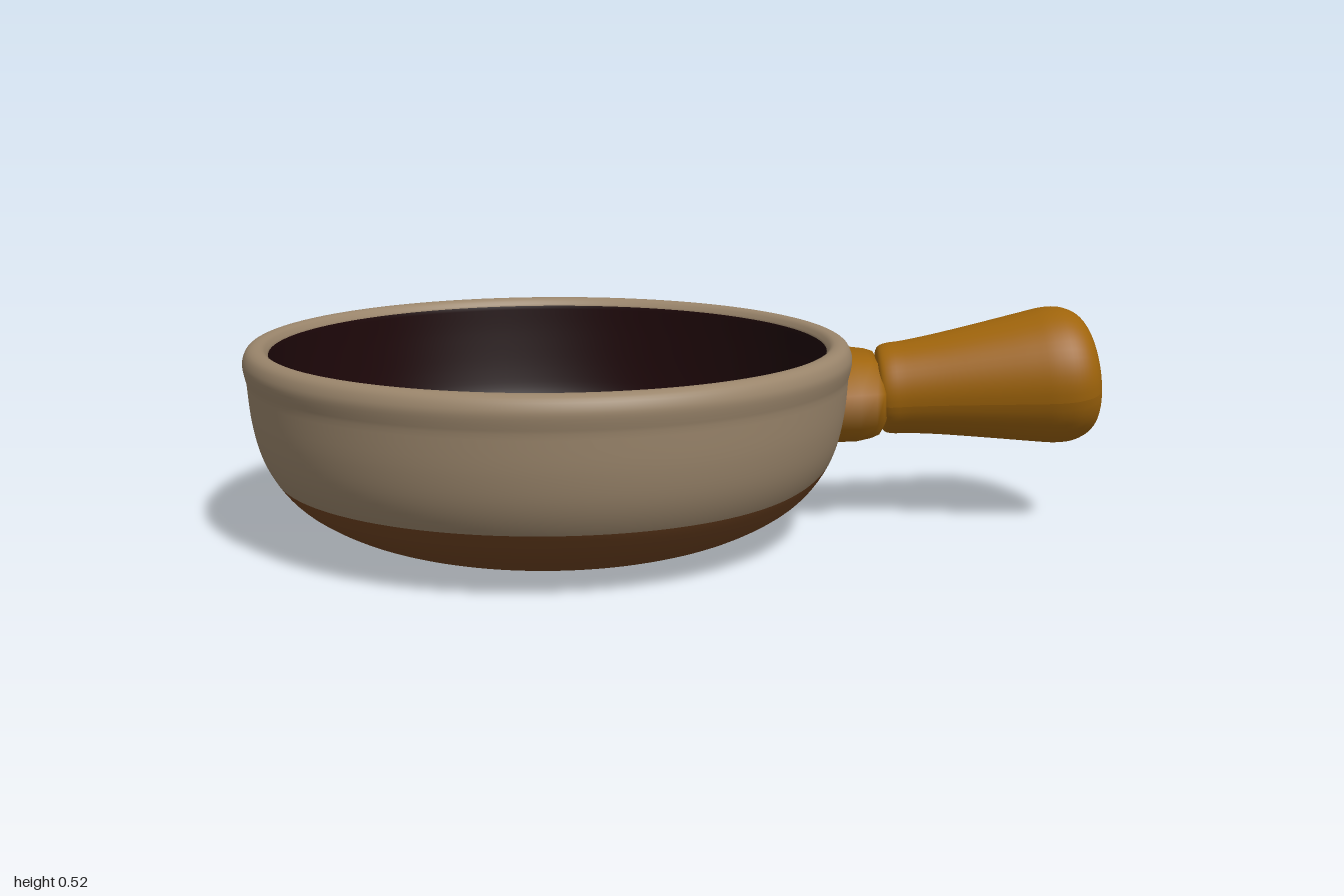
import * as THREE from 'three';

const V2 = (list) => list.map(([x, y]) => new THREE.Vector2(x, y));
const mat = (name, color) => new THREE.MeshStandardMaterial({ name, color });

// Outer wall, from the flat foot to just under the lip
const wall = new THREE.SplineCurve(V2([
  [0.28, 0.001], [0.4, 0.008], [0.48, 0.03], [0.55, 0.064], [0.605, 0.104], [0.647, 0.155],
  [0.676, 0.215], [0.693, 0.29], [0.701, 0.375],
]));
// Rolled lip, then the inside down to the middle of the floor
const lip = new THREE.SplineCurve(V2([
  [0.701, 0.375], [0.708, 0.405], [0.708, 0.425], [0.699, 0.445], [0.682, 0.454], [0.662, 0.451], [0.65, 0.435],
])).getPoints(18);
const inside = new THREE.SplineCurve(V2([
  [0.65, 0.435], [0.645, 0.36], [0.634, 0.26], [0.62, 0.195], [0.59, 0.145], [0.535, 0.12], [0.44, 0.115], [0.2, 0.115], [0, 0.115],
])).getPoints(40);

// Curve parameter at which the wall reaches height y
function wallAt(y) {
  let lo = 0, hi = 1;
  for (let i = 0; i < 30; i++) {
    const mid = (lo + hi) / 2;
    if (wall.getPoint(mid).y < y) lo = mid; else hi = mid;
  }
  return lo;
}

// Upper edge of the brown glaze: level, but climbing around the handle
function glazeHeight(a) {
  const d = Math.abs(Math.atan2(Math.sin(a - 0.105), Math.cos(a - 0.105))) * 0.72;
  return 0.15 + 0.055 * Math.exp(-((d / 0.36) ** 2)) + 0.15 * Math.exp(-((d / 0.165) ** 8));
}

// Dish as one closed skin, coloured by bands of rows
function dishGeometry() {
  const SEG = 240, LOW = 20, HIGH = 14;
  const pos = [];
  const profiles = [];
  for (let i = 0; i < SEG; i++) {
    const split = wallAt(glazeHeight((i / SEG) * Math.PI * 2));
    const profile = [new THREE.Vector2(0, 0)];
    for (let j = 0; j < LOW; j++) profile.push(wall.getPoint((split * j) / (LOW - 1)));
    for (let j = 1; j <= HIGH; j++) profile.push(wall.getPoint(split + ((1 - split) * j) / HIGH));
    profiles.push([...profile, ...lip.slice(1), ...inside.slice(1)]);
  }
  const rows = profiles[0].length;
  const index = [];
  for (let j = 0; j < rows; j++) {
    for (let i = 0; i < SEG; i++) {
      const t = (i / SEG) * Math.PI * 2, p = profiles[i][j];
      pos.push(p.x * Math.cos(t), p.y, p.x * Math.sin(t) * 1.053);
      if (j === rows - 1) continue;
      const n = (i + 1) % SEG, a = j * SEG, b = a + SEG;
      index.push(a + i, b + i, a + n, a + n, b + i, b + n);
    }
  }
  const g = new THREE.BufferGeometry();
  g.setAttribute('position', new THREE.Float32BufferAttribute(pos, 3));
  g.setIndex(index);
  const rowSize = SEG * 6, lipEnd = LOW + HIGH + lip.length - 1;
  g.addGroup(0, LOW * rowSize, 0);
  g.addGroup(LOW * rowSize, (lipEnd - LOW) * rowSize, 1);
  g.addGroup(lipEnd * rowSize, (rows - 1 - lipEnd) * rowSize, 2);
  g.computeVertexNormals();
  return g;
}

// Flared grip with a rounded end, the end face slanted a little sideways
function gripGeometry() {
  const g = new THREE.LatheGeometry(new THREE.SplineCurve(V2([
    [0.075, 0.08], [0.1, 0.088], [0.109, 0.108], [0.112, 0.15], [0.122, 0.23], [0.141, 0.35], [0.156, 0.44],
    [0.163, 0.49], [0.16, 0.532], [0.142, 0.567], [0.11, 0.587], [0.06, 0.596], [0, 0.598],
  ])).getPoints(48), 48);
  const p = g.attributes.position;
  for (let i = 0; i < p.count; i++) {
    const y = p.getY(i);
    p.setY(i, y + 0.11 * p.getZ(i) * (y / 0.59) ** 4);
  }
  g.computeVertexNormals();
  return g;
}

// Turns a part built along +y to point in the given direction
function aim(mesh, name, dir, origin) {
  mesh.name = name;
  mesh.quaternion.setFromUnitVectors(new THREE.Vector3(0, 1, 0), new THREE.Vector3(...dir).normalize());
  mesh.position.set(...origin);
  return mesh;
}

export function createModel() {
  const glaze = mat('brown glaze', 0x6f4321);
  const clay = mat('tan stoneware', 0x9a856b);
  const dark = mat('dark interior', 0x1d0709);
  const amber = mat('amber handle', 0x9f640b);

  const model = new THREE.Group();
  model.name = 'handledDish';

  const dish = new THREE.Mesh(dishGeometry(), [glaze, clay, dark]);
  dish.name = 'dish';
  dish.position.x = -0.292;
  model.add(dish);

  // Eight-sided collar joining the handle to the wall
  const collarGeo = new THREE.LatheGeometry(V2([
    [0.15, -0.03], [0.153, 0.02], [0.144, 0.06], [0.134, 0.08], [0.105, 0.09], [0, 0.09],
  ]), 8, Math.PI / 8);
  collarGeo.scale(0.72, 1, 1);
  model.add(aim(new THREE.Mesh(collarGeo, amber), 'collar', [1, 0.04, 0.14], [0.41, 0.305, 0.077]));

  model.add(aim(new THREE.Mesh(gripGeometry(), amber), 'handle', [0.57, 0.055, 0.15], [0.412, 0.31, 0.074]));

  return model;
}
